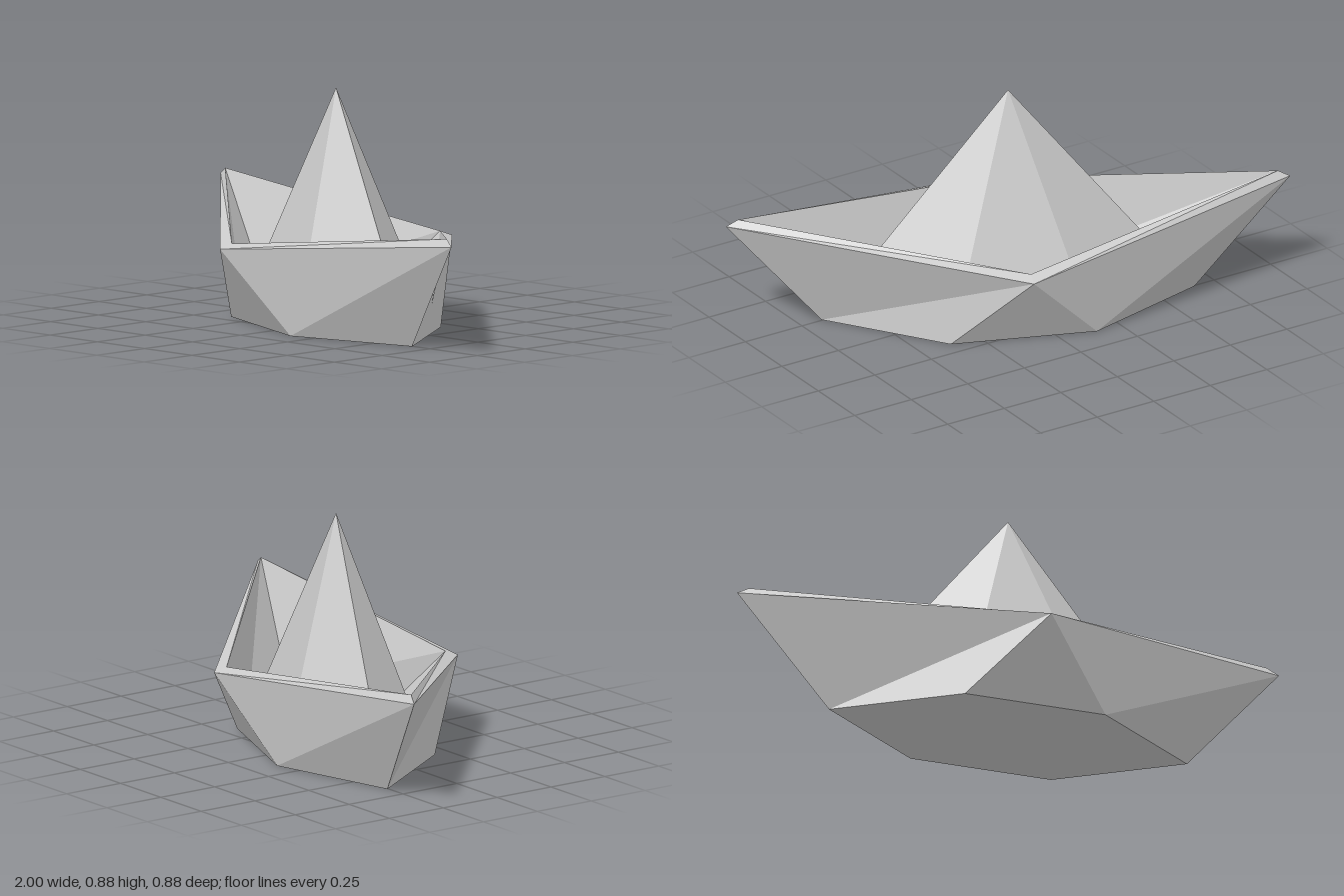
import * as THREE from 'three';

const material = new THREE.MeshStandardMaterial({ color: 0xcccccc, flatShading: true });

// Six-cornered ring: three corners, then the same three turned half way round y
function ring(...corners) {
  const points = corners.map((c) => new THREE.Vector3(...c));
  return [...points, ...points.map((p) => new THREE.Vector3(-p.x, p.y, -p.z))];
}

// Skin a run of rings with flat faces, leaving out collapsed triangles
function skin(name, ...rings) {
  const positions = [];
  const tri = (a, b, c) => {
    if (a.equals(b) || b.equals(c) || c.equals(a)) return;
    for (const p of [a, b, c]) positions.push(p.x, p.y, p.z);
  };
  for (let r = 0; r < rings.length - 1; r++) {
    const low = rings[r], high = rings[r + 1];
    for (let i = 0; i < 6; i++) {
      const j = (i + 1) % 6;
      tri(low[j], low[i], high[i]);
      tri(low[j], high[i], high[j]);
    }
  }
  const geometry = new THREE.BufferGeometry();
  geometry.setAttribute('position', new THREE.Float32BufferAttribute(positions, 3));
  geometry.computeVertexNormals();
  const mesh = new THREE.Mesh(geometry, material);
  mesh.name = name;
  return mesh;
}

export function createModel() {
  const boat = new THREE.Group();
  boat.name = 'paperBoat';

  // Corners run from the pointed end along one side; a rim's side corner counts twice
  const keel = ring([0, 0, 0], [0, 0, 0], [0, 0, 0]);
  const base = ring([-0.66, 0, -0.255], [-0.147, 0, -0.383], [0.37, 0, -0.182]);
  const outerRim = ring([-1, 0.42, -0.385], [0.168, 0.3, -0.44], [0.168, 0.3, -0.44]);
  const innerRim = ring([-0.957, 0.445, -0.367], [0.152, 0.318, -0.394], [0.152, 0.318, -0.394]);
  const floor = ring([-0.625, 0.045, -0.243], [-0.142, 0.045, -0.342], [0.335, 0.045, -0.158]);
  const tip = ring([0, 0.88, 0], [0, 0.88, 0], [0, 0.88, 0]);

  boat.add(
    skin('hull', keel, base, outerRim),
    skin('rim', outerRim, innerRim),
    skin('innerWalls', innerRim, floor),
    skin('centrePeak', floor, tip),
  );
  return boat;
}
